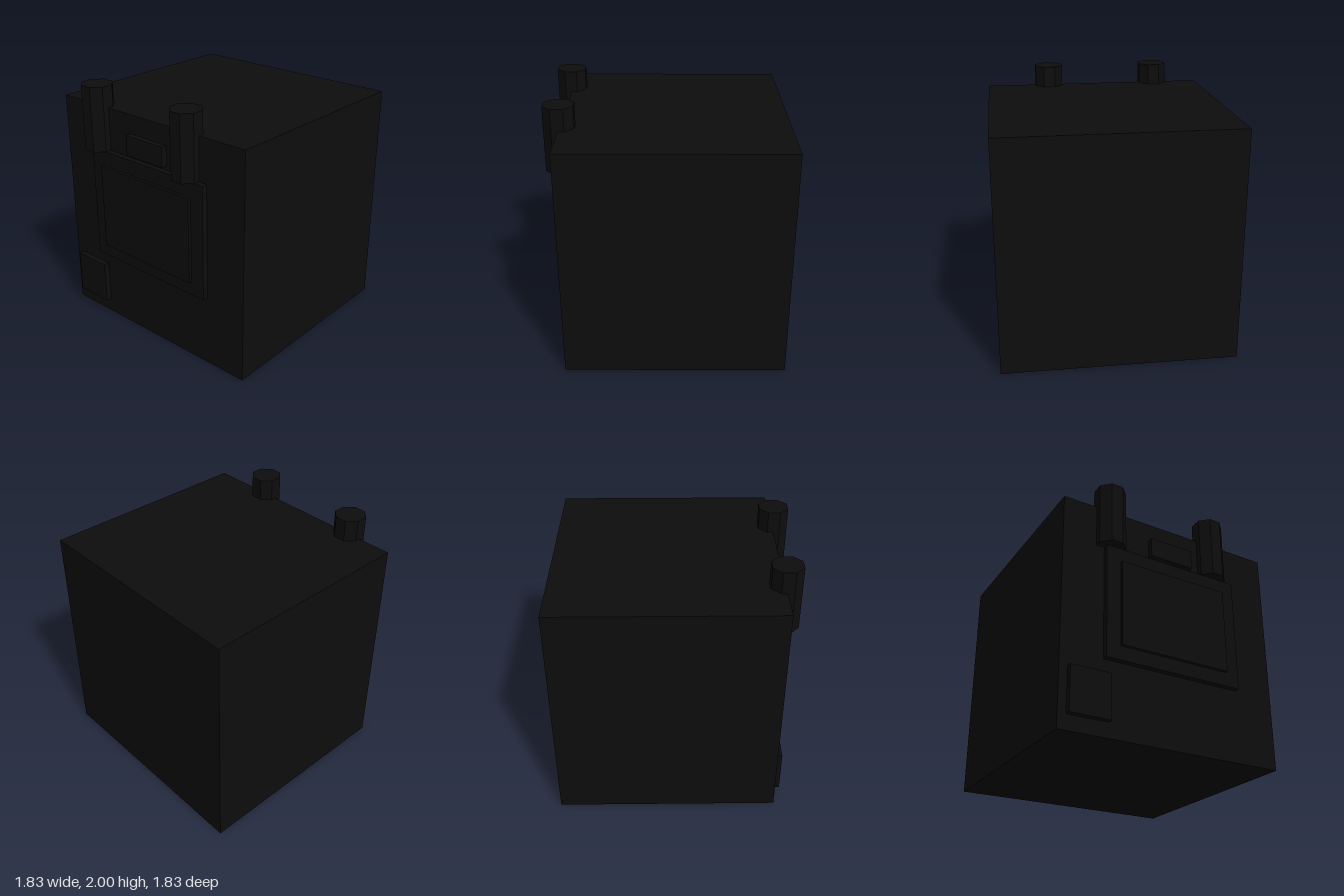
import * as THREE from 'three';

export function createModel() {
  const model = new THREE.Group();
  const black = new THREE.MeshStandardMaterial({ color: 0x0d0d0d, flatShading: true });
  black.name = 'black';

  // Box given by its extents on each axis
  function block(name, [x0, x1], [y0, y1], [z0, z1]) {
    const mesh = new THREE.Mesh(new THREE.BoxGeometry(x1 - x0, y1 - y0, z1 - z0), black);
    mesh.position.set((x0 + x1) / 2, (y0 + y1) / 2, (z0 + z1) / 2);
    mesh.name = name;
    model.add(mesh);
  }

  // Main cube
  block('body', [-0.915, 0.91], [0, 1.83], [-0.915, 0.8]);

  // Raised front plates
  block('frontPanel', [-0.575, 0.57], [0.575, 1.49], [0.78, 0.845]);
  block('innerPanel', [-0.46, 0.455], [0.685, 1.37], [0.78, 0.87]);
  block('topPlate', [-0.185, 0.185], [1.52, 1.68], [0.78, 0.845]);
  block('cornerPlate', [-0.85, -0.53], [0.115, 0.46], [0.78, 0.845]);

  // Octagonal posts standing above the front edge, flat sides facing front
  const apothem = 0.114;
  const radius = apothem / Math.cos(Math.PI / 8);
  const postGeometry = new THREE.CylinderGeometry(radius, radius, 0.51, 8).rotateY(Math.PI / 8);
  for (const [name, x] of [['rightPost', -0.527], ['leftPost', 0.387]]) {
    const post = new THREE.Mesh(postGeometry, black);
    post.position.set(x, 1.745, 0.801);
    post.name = name;
    model.add(post);
  }

  return model;
}
